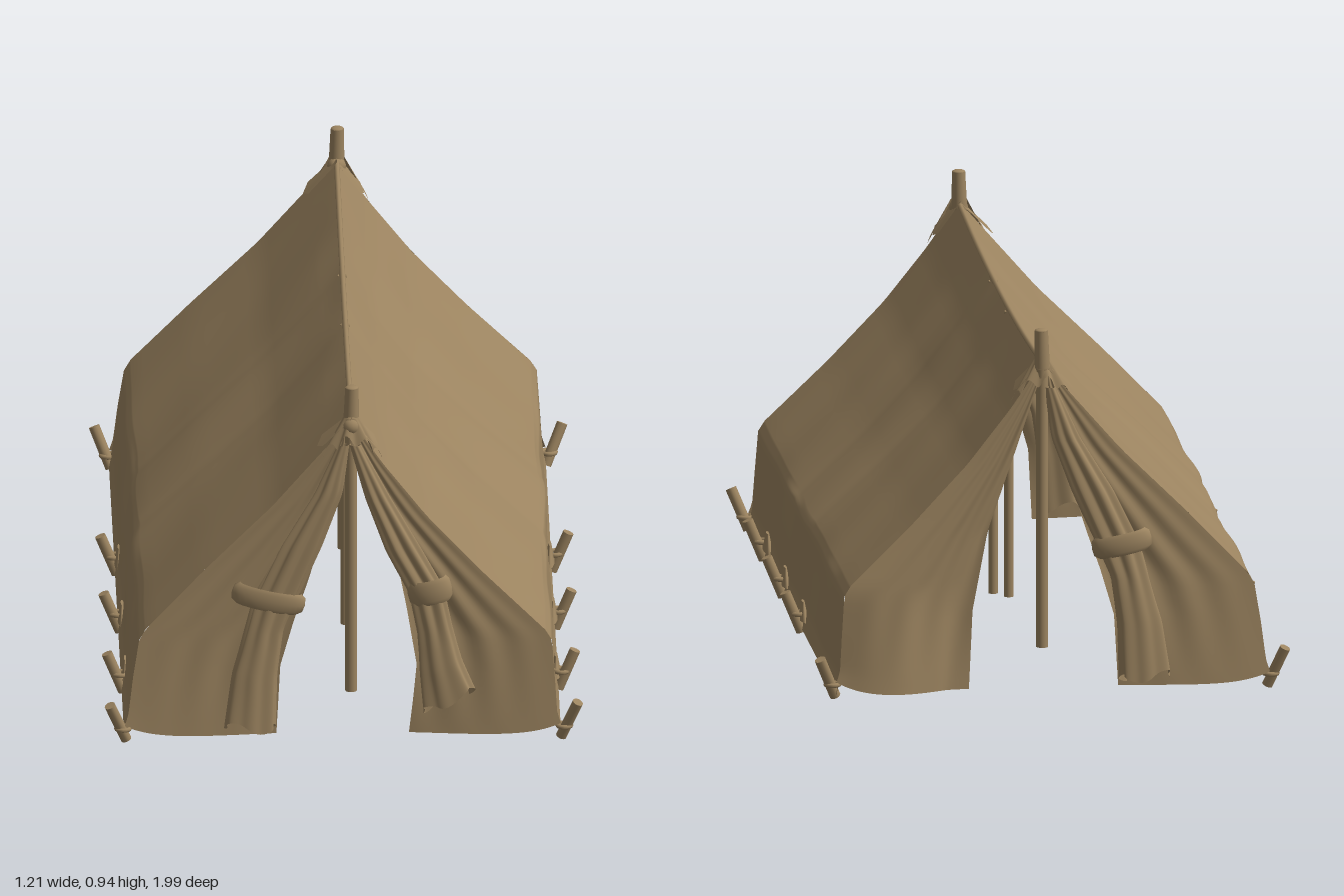
import * as THREE from 'three';

const canvas = new THREE.MeshStandardMaterial({ color: 0x9c8460, side: THREE.DoubleSide });
canvas.name = 'tan canvas';

// Slope and wall profiles from ridge over the eave to the ground, as [x, y]
const PROFILE = {
  1: [[0.02, 0.855], [0.1, 0.737], [0.21, 0.597], [0.35, 0.448], [0.51, 0.292], [0.527, 0.265],
    [0.535, 0.15], [0.54, 0.06], [0.55, 0.015]],
  [-1]: [[0.02, 0.855], [-0.045, 0.78], [-0.18, 0.625], [-0.35, 0.458], [-0.5, 0.302], [-0.517, 0.272],
    [-0.533, 0.17], [-0.545, 0.06], [-0.555, 0.015]],
};

const lerp = THREE.MathUtils.lerp;

// Point along a list of points, t from 0 to 1
function along(pts, t) {
  const f = Math.min(t, 0.99999) * (pts.length - 1), i = Math.floor(f);
  return pts[i].map((a, k) => lerp(a, pts[i + 1][k], f - i));
}

// x of a profile at height y (points run downwards)
function xAt(pts, y) {
  if (y >= pts[0][1]) return pts[0][0];
  for (let i = 1; i < pts.length; i++) {
    const [a, b] = [pts[i - 1], pts[i]];
    if (y >= b[1]) return lerp(b[0], a[0], (y - b[1]) / (a[1] - b[1]));
  }
  return pts[pts.length - 1][0];
}

// Distance of the tent ends from the middle at height y; the back sits a little further out
const endZ = (y, end) => (end > 0 ? 0.912 : 0.922) + 0.05 * Math.pow(Math.max(0, 1 - y / 0.86), 1.8);

// Grid surface from a rule fn(u, v) -> [x, y, z]
function sheet(nu, nv, fn) {
  const geo = new THREE.PlaneGeometry(1, 1, nu, nv);
  const p = geo.attributes.position, uv = geo.attributes.uv;
  for (let i = 0; i < p.count; i++) p.setXYZ(i, ...fn(uv.getX(i), 1 - uv.getY(i)));
  geo.computeVertexNormals();
  return geo;
}

export function createModel() {
  const tent = new THREE.Group();
  tent.name = 'tent';

  function add(name, geo) {
    const m = new THREE.Mesh(geo, canvas);
    m.name = name;
    tent.add(m);
    return m;
  }

  // Round rod between two points
  function rod(name, a, b, r, r2 = r) {
    const A = new THREE.Vector3(...a), B = new THREE.Vector3(...b);
    const m = add(name, new THREE.CylinderGeometry(r2, r, A.distanceTo(B), 12));
    m.position.copy(A).lerp(B, 0.5);
    m.quaternion.setFromUnitVectors(new THREE.Vector3(0, 1, 0), B.sub(A).normalize());
  }

  // Each side is one cloth: sagging roof slope bent softly over the eave into a low wall
  for (const s of [1, -1]) {
    add(s > 0 ? 'leftSide' : 'rightSide', sheet(72, 40, (u, v) => {
      const [x, y] = along(PROFILE[s], v), k = u * 2 - 1;
      const sag = 0.026 * (1 - k * k) * Math.max(0, 1 - v / 0.6);
      const ease = Math.sin(Math.PI * u) * Math.sin(Math.PI * v);
      const seams = Math.exp(-Math.pow((k - 0.2) * 30, 2)) + Math.exp(-Math.pow((k + 0.2) * 30, 2));
      const ripple = ease * (0.003 * Math.sin(k * 13 + v * 5) + 0.004 * Math.sin(k * 7 - v * 9 + s) - 0.003 * seams);
      return [x + s * ripple, y - sag + ripple * (1 - v), k * endZ(y, k)];
    }));
  }

  // Ridge seam
  const ridge = new THREE.CatmullRomCurve3([-1, -0.5, 0, 0.5, 1].map(
    (k) => new THREE.Vector3(0.02, 0.826 + 0.026 * k * k, k * 0.91)));
  add('ridgeSeam', new THREE.TubeGeometry(ridge, 24, 0.007, 8));

  // End panel: from the sloping outer edge to a curtain-like inner edge
  function endPanel(name, s, end, inner, bulge) {
    add(name, sheet(28, 36, (u, v) => {
      const y = lerp(0.84, 0.018, v);
      const side = Math.sin(Math.PI * Math.min(1, u * 1.2)) * v;
      const folds = 0.008 * u * Math.sin(u * 22 + v * 5) * Math.sin(Math.PI * v) + bulge * side;
      const corner = 0.03 * Math.pow(1 - u, 6) * Math.pow(v, 12);
      const tuck = 0.022 * u * u * v * v;
      return [lerp(xAt(PROFILE[s], y), xAt(inner, y), u), y + corner, end * (endZ(y, end) + folds - tuck)];
    }));
  }

  // Gathered curtain from cross-sections [x, y, half width, half depth]
  function bundle(name, end, sections, slant, phase) {
    add(name, sheet(72, 40, (u, v) => {
      const [x, y, w, d] = along(sections, v), a = u * Math.PI * 2;
      const wave = Math.sin(a * 7 + phase + v * 2) + 0.5 * Math.sin(a * 4 - v * 3 + phase);
      const pleat = 1 + 0.16 * wave * Math.sin(Math.PI * Math.min(v + 0.1, 0.85));
      const dx = Math.cos(a) * w * Math.min(pleat, 1.12);
      const hem = 0.012 * Math.pow(v, 8) * Math.sin(a * 3 + phase);
      return [x + dx, y + slant * dx * v * v + hem, end * (endZ(y, end) + 0.002 + Math.sin(a) * d * pleat)];
    }));
  }

  // Strap wrapped around a gathered curtain
  function band(name, x, y, end, w, d, h, tilt) {
    const strap = new THREE.LatheGeometry([[0.85, -h / 2], [1, -h / 3], [1.03, 0], [1, h / 3], [0.85, h / 2]]
      .map(([r, t]) => new THREE.Vector2(r, t)), 28);
    strap.scale(w, 1, d);
    const m = add(name, strap);
    m.position.set(x, y, end * (endZ(y, end) + 0.002));
    m.rotation.z = tilt;
  }

  const innerLeft = [[0.025, 0.8], [0.06, 0.65], [0.14, 0.45], [0.16, 0.35], [0.185, 0.2], [0.175, 0.1], [0.165, 0.015]];
  const innerRight = [[0.005, 0.8], [-0.02, 0.65], [-0.09, 0.42], [-0.125, 0.32], [-0.16, 0.2], [-0.17, 0.015]];
  const innerPlain = [[0.03, 0.8], [0.09, 0.62], [0.16, 0.42], [0.2, 0.22], [0.21, 0.015]];
  const rightRoll = [[0, 0.79, 0.014, 0.012], [-0.04, 0.66, 0.034, 0.018], [-0.11, 0.52, 0.05, 0.022],
    [-0.17, 0.39, 0.052, 0.022], [-0.2, 0.3, 0.046, 0.024], [-0.225, 0.18, 0.056, 0.026], [-0.237, 0.045, 0.064, 0.026]];
  const leftRoll = [[0.03, 0.79, 0.014, 0.012], [0.085, 0.65, 0.03, 0.018], [0.15, 0.51, 0.042, 0.022],
    [0.21, 0.4, 0.042, 0.022], [0.23, 0.3, 0.042, 0.023], [0.245, 0.2, 0.052, 0.024], [0.265, 0.11, 0.064, 0.02]];

  // Front: both curtains tied back
  endPanel('frontLeftPanel', 1, 1, innerLeft, 0.002);
  endPanel('frontRightPanel', -1, 1, innerRight, 0.002);
  bundle('frontLeftCurtain', 1, leftRoll, 0.45, 0);
  bundle('frontRightCurtain', 1, rightRoll, -0.1, 1.3);
  band('frontLeftStrap', 0.218, 0.4, 1, 0.055, 0.03, 0.065, 0.2);
  band('frontRightStrap', -0.19, 0.382, 1, 0.092, 0.03, 0.055, -0.22);

  // Back: one curtain tied, the other hanging loose
  endPanel('backLeftPanel', 1, -1, innerPlain, 0.036);
  endPanel('backRightPanel', -1, -1, innerRight, 0.002);
  bundle('backRightCurtain', -1, rightRoll, -0.1, 0.6);
  band('backRightStrap', -0.18, 0.385, -1, 0.075, 0.032, 0.055, -0.2);

  // Thin poles inside, one hanging shorter than the other
  rod('innerPole', [0.02, 0.01, 0.155], [0.02, 0.82, 0.155], 0.012);
  rod('innerPole', [0.02, 0.08, -0.19], [0.02, 0.82, -0.19], 0.012);

  for (const e of [1, -1]) {
    // End pole with its tip standing above the ridge
    const z = e > 0 ? 0.892 : -0.917;
    rod('endPole', [0.02, 0.115, z], [0.02, 0.9, z], 0.015);
    rod('poleTip', [0.02, 0.84, z], [0.022, 0.935, z], 0.02, 0.017);
    const crown = add('poleCrown', new THREE.SphereGeometry(0.017, 14, 8));
    crown.scale.y = 0.35;
    crown.position.set(0.022, 0.935, z);

    // Reinforcing cap folded over each ridge end
    for (const s of [1, -1]) {
      add('ridgeCap', sheet(8, 8, (u, v) => {
        const y = lerp(0.858, 0.77 + 0.03 * Math.abs(u - 0.5), v);
        const x = xAt(PROFILE[s], y) + s * 0.012 * v;
        return [x, y + 0.004, e * lerp(0.922, 0.87 - 0.03 * v, u)];
      }));
    }

    // Ragged hood closing the gable peak around the pole
    add('ridgeHood', sheet(48, 10, (u, v) => {
      const a = u * Math.PI, c = Math.cos(a);
      const drop = 0.055 + 0.045 * c * c + 0.014 * Math.cos(a * 9);
      const r = lerp(0.02, 0.072 + 0.008 * Math.cos(a * 7), v);
      return [0.02 + c * r, 0.862 - drop * v, e * (0.905 + Math.sin(a) * lerp(0.014, 0.03, v))];
    }));
    const knot = add('poleKnot', new THREE.SphereGeometry(0.024, 14, 10));
    knot.position.set(0.02, 0.838, e * 0.908);
  }

  // Pegs with canvas loops: corners lean diagonally, side pegs straight out
  function loop(x, y, z) {
    const m = add('pegLoop', new THREE.TorusGeometry(0.017, 0.006, 8, 16));
    m.position.set(x, y, z);
    m.rotation.x = Math.PI / 2;
  }
  for (const s of [1, -1]) {
    for (const e of [1, -1]) {
      rod('cornerPeg', [s * 0.55, 0.008, e * 0.945], [s * 0.592, 0.11, e * 0.975], 0.014);
      loop(s * 0.558, 0.04, e * 0.953);
    }
    // [peg z, sideways shift of its patch]
    for (const [z, shift] of [[0.61, -0.035], [0.19, 0], [-0.21, 0.01]]) {
      rod('sidePeg', [s * 0.55, 0.008, z], [s * 0.592, 0.11, z], 0.014);
      loop(s * 0.558, 0.055, z);
      const tab = new THREE.CylinderGeometry(0.018, 0.06, 0.045, 12);
      tab.scale(0.2, 1, 1);
      add('loopPatch', tab).position.set(s * 0.545, 0.062, z + shift);
    }
  }
  return tent;
}
